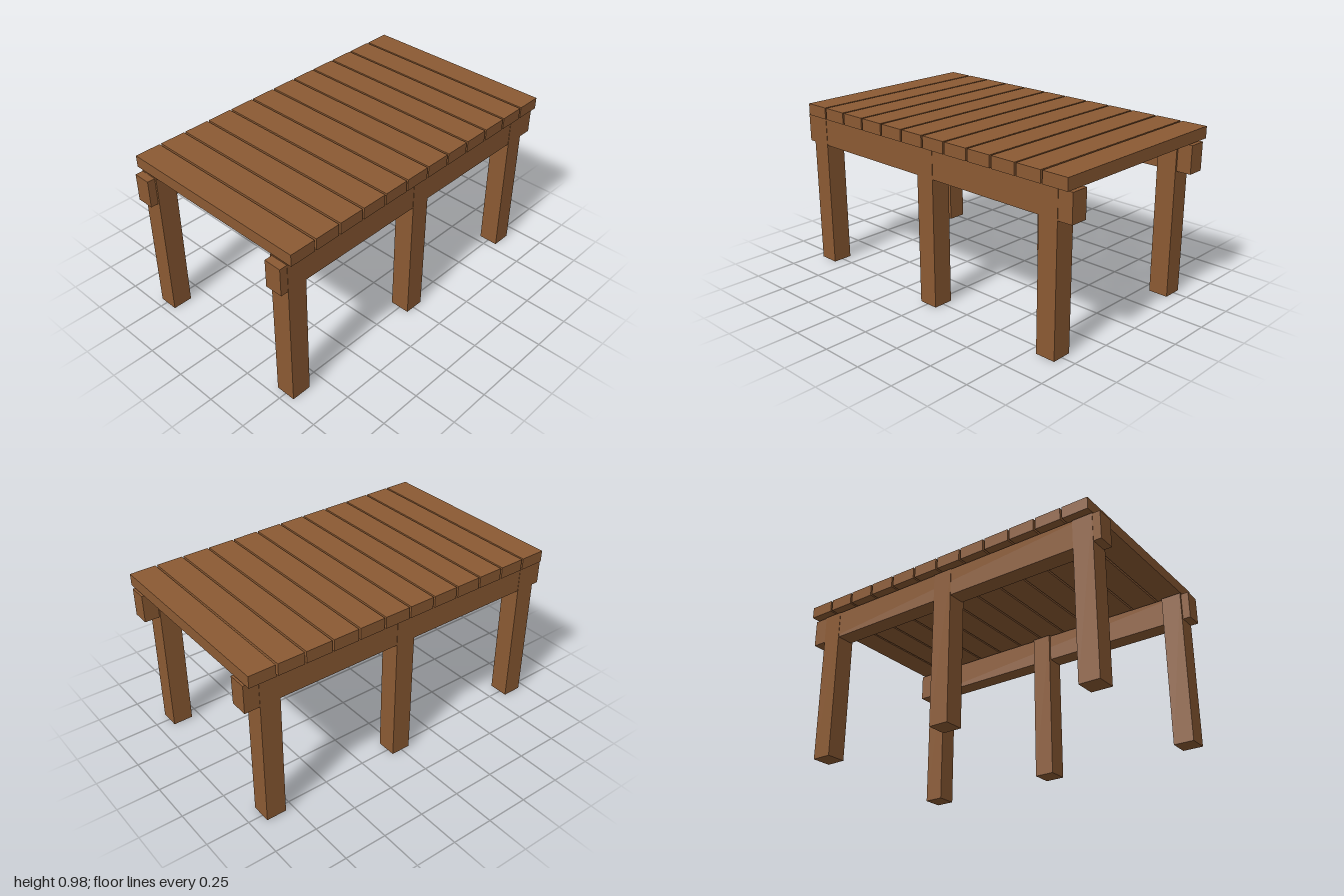
import * as THREE from 'three';

export function createModel() {
  const model = new THREE.Group();
  const wood = new THREE.MeshStandardMaterial({ color: 0x8b5a33 });

  // Box given by its lower and upper limits on each axis
  function board(name, [x0, x1], [y0, y1], [z0, z1]) {
    const mesh = new THREE.Mesh(new THREE.BoxGeometry(x1 - x0, y1 - y0, z1 - z0), wood);
    mesh.position.set((x0 + x1) / 2, (y0 + y1) / 2, (z0 + z1) / 2);
    mesh.name = name;
    model.add(mesh);
  }

  // Two rows of three legs, each row joined by a long beam
  const rows = [
    { side: 'front', leg: [0.441, 0.558], beam: [0.454, 0.556] },
    { side: 'back', leg: [-0.545, -0.429], beam: [-0.543, -0.44] },
  ];
  for (const { side, leg, beam } of rows) {
    for (const x of [-0.955, -0.053, 0.797]) {
      board(`${side}Leg`, [x, x + 0.117], [0, 0.908], leg);
    }
    board(`${side}Beam`, [-1, 1], [0.744, 0.906], beam);
  }

  // Twelve top slats with narrow gaps, floating just above the beams
  const pitch = 0.1632, width = 0.152;
  for (let i = 0; i < 12; i++) {
    const x = -0.955 + i * pitch;
    board('topSlat', [x, x + width], [0.914, 0.982], [-0.585, 0.585]);
  }

  return model;
}
